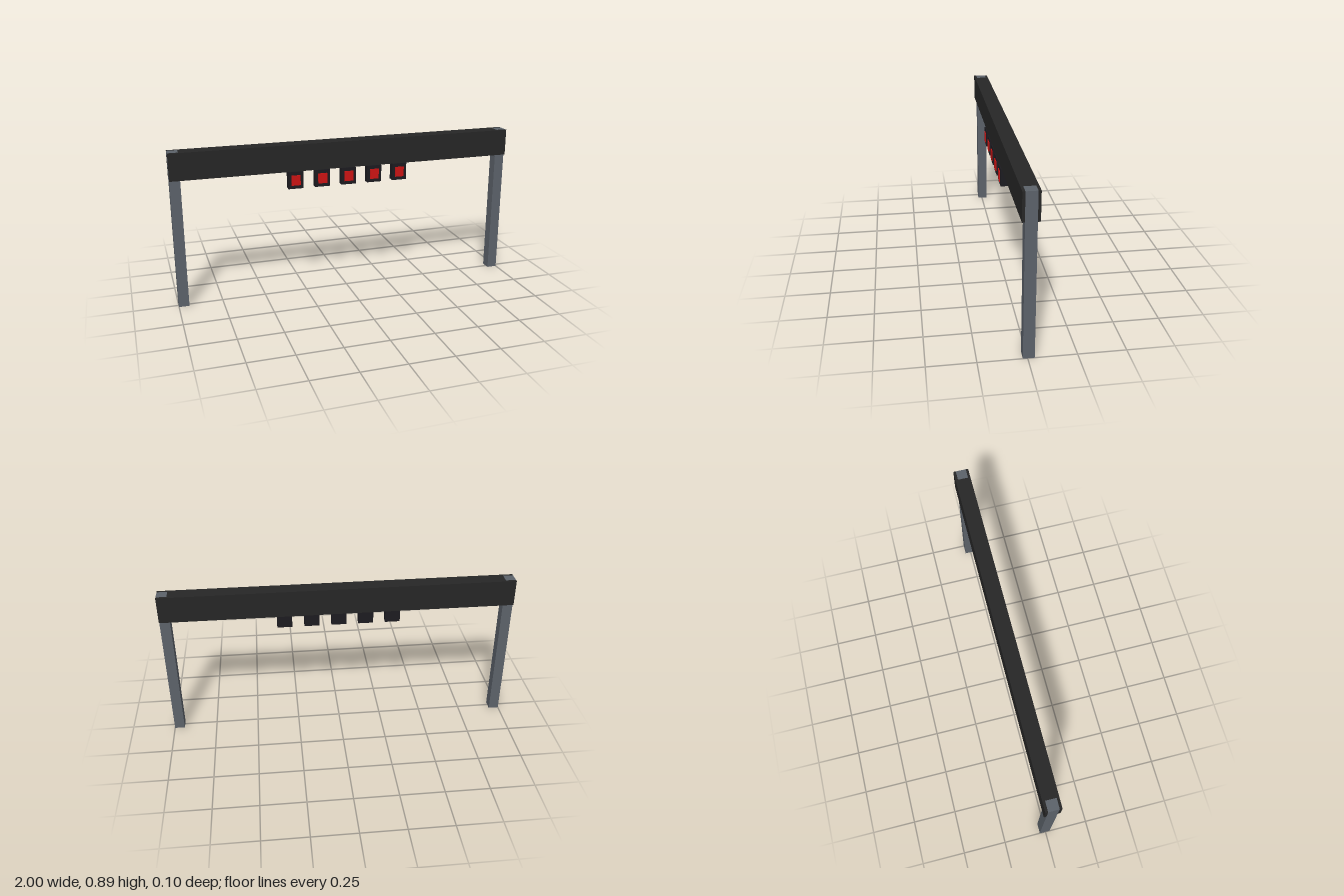
import * as THREE from 'three';

export function createModel() {
  const model = new THREE.Group();
  const mat = (color) => new THREE.MeshStandardMaterial({ color });
  const steel = mat(0x5c626a), panel = mat(0x262626), casing = mat(0x1c1b20), red = mat(0xcc1414);

  // Box given by its minimum and maximum corners
  const box = (name, material, [x0, y0, z0], [x1, y1, z1], parent = model) => {
    const mesh = new THREE.Mesh(new THREE.BoxGeometry(x1 - x0, y1 - y0, z1 - z0), material);
    mesh.position.set((x0 + x1) / 2, (y0 + y1) / 2, (z0 + z1) / 2);
    mesh.name = name;
    parent.add(mesh);
  };

  const top = 0.893, beamBottom = 0.74, inner = 0.942;
  const postFront = 0.024, postBack = -0.035;

  // Two square posts
  box('leftPost', steel, [inner, 0, postBack], [1, top, postFront]);
  box('rightPost', steel, [-1, 0, postBack], [-inner, top, postFront]);

  // Crossbeam: a core between the posts, faced with a panel on each side
  box('beamCore', panel, [-inner, beamBottom, postBack], [inner, top, postFront]);
  box('frontPanel', panel, [-1, beamBottom, postFront], [1, top, 0.038]);
  box('backPanel', panel, [-1, beamBottom, -0.049], [1, top, postBack]);

  // Row of five signal lamps hanging below the beam
  for (let i = -2; i <= 2; i++) {
    const lamp = new THREE.Group();
    lamp.name = 'lamp';
    lamp.position.x = i * 0.155;
    box('lampHousing', casing, [-0.043, 0.642, 0.003], [0.043, beamBottom, 0.044], lamp);
    box('lampLens', red, [-0.026, 0.662, 0.04], [0.026, 0.72, 0.049], lamp);
    model.add(lamp);
  }
  return model;
}
